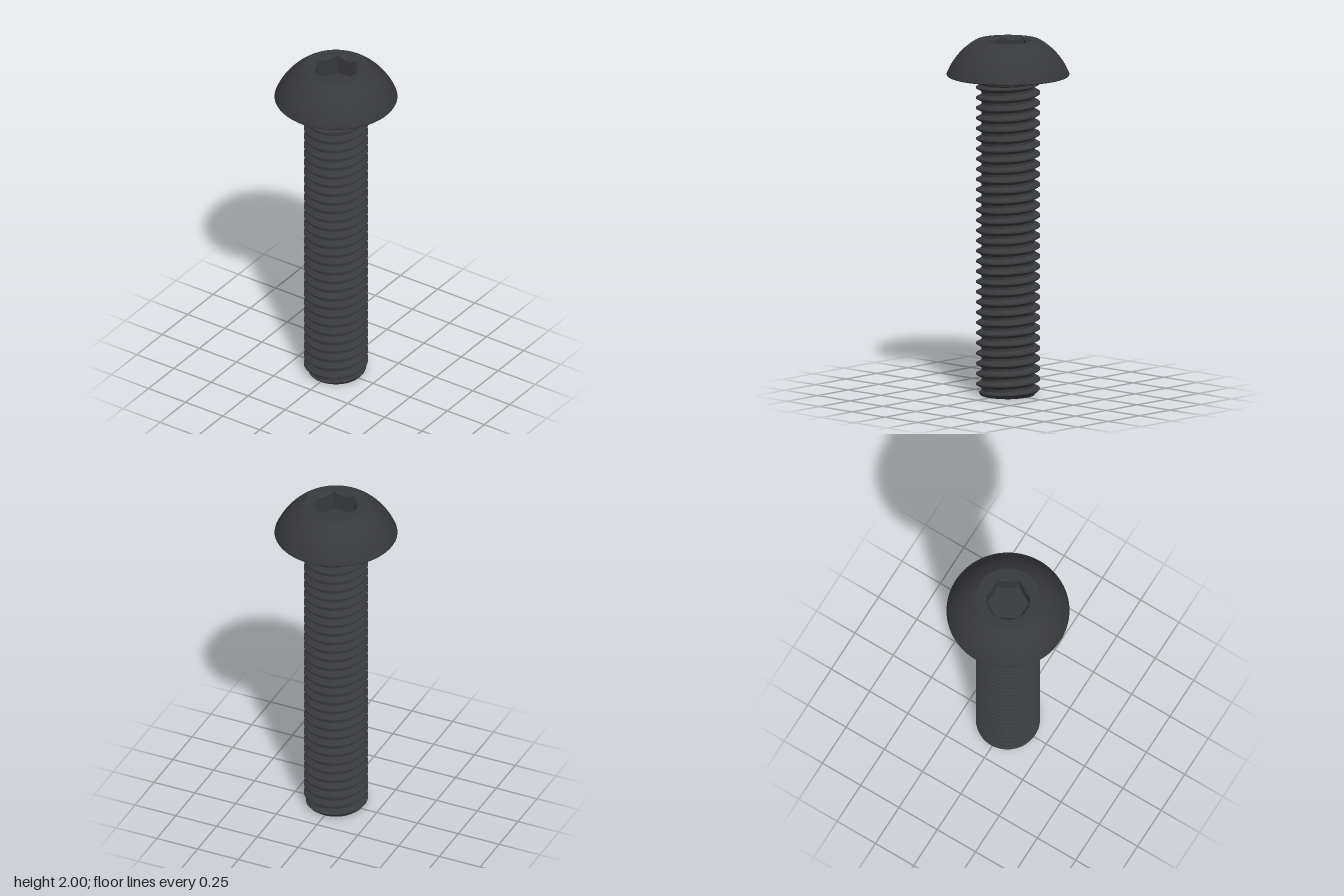
import * as THREE from 'three';
import { toCreasedNormals } from 'three/addons/utils/BufferGeometryUtils.js';

const TAU = Math.PI * 2;
const clamp = THREE.MathUtils.clamp;

// Surface around the y axis from rows of (radius, height), each free to vary with the angle
function sweep(rows, segments, at, crease) {
  const positions = [], index = [];
  const points = [];
  for (let i = 0; i < rows; i++) {
    for (let j = 0; j <= segments; j++) {
      const a = (j / segments) * TAU;
      const [r, y] = at(i, a);
      points.push(new THREE.Vector3(r * Math.cos(a), y, -r * Math.sin(a)));
    }
  }
  points.forEach((p) => positions.push(p.x, p.y, p.z));
  // Collapsed triangles are left out
  const add = (a, b, c) => {
    if (new THREE.Triangle(points[a], points[b], points[c]).getArea() > 1e-9) index.push(a, b, c);
  };
  const w = segments + 1;
  for (let i = 0; i < rows - 1; i++) {
    for (let j = 0; j < segments; j++) {
      const a = i * w + j;
      add(a, a + 1, a + w + 1);
      add(a, a + w + 1, a + w);
    }
  }
  const geo = new THREE.BufferGeometry();
  geo.setAttribute('position', new THREE.Float32BufferAttribute(positions, 3));
  geo.setIndex(index);
  return toCreasedNormals(geo, crease);
}

// Right-hand thread with a chamfered tip
function threadGeometry() {
  const pitch = 0.0577, start = 0.04, top = 1.79;
  const root = 0.147, crest = 0.179;
  const steps = [0.125, 0.28, 0.4375, 0.5625, 0.72, 0.875];
  const rows = 34 * steps.length + 1;
  return sweep(rows, 72, (i, a) => {
    if (i === 0) return [0, 0]; // centre of the flat end
    const k = i - 1;
    const u = Math.floor(k / steps.length) - 2 + steps[k % steps.length];
    const y = clamp(start + pitch * (u + a / TAU), 0, top);
    const v = (y - start) / pitch - a / TAU;
    const f = v - Math.floor(v);
    const t = clamp((0.375 - Math.abs(f - 0.5)) / 0.3125, 0, 1);
    return [Math.min(root + (crest - root) * t, 0.152 + 0.8 * y), y];
  }, 0.5);
}

// Domed head with a plain collar and a small fillet underneath
function headGeometry() {
  const profile = [
    [0.147, 1.75], [0.177, 1.768], [0.178, 1.782], [0.184, 1.794], [0.2, 1.803],
    [0.338, 1.803], [0.342, 1.808], [0.34, 1.817],
  ].map(([x, y]) => new THREE.Vector2(x, y));
  const dome = new THREE.QuadraticBezierCurve(
    new THREE.Vector2(0.34, 1.817), new THREE.Vector2(0.288, 1.938), new THREE.Vector2(0.18, 2));
  profile.push(...dome.getPoints(14).slice(1), new THREE.Vector2(0.125, 2));
  return toCreasedNormals(new THREE.LatheGeometry(profile, 96), 0.5);
}

// Hexagonal socket with a conical lead-in
function socketGeometry() {
  const apothem = 0.1083, mouth = 0.125, floor = 1.885;
  return sweep(4, 96, (i, a) => {
    const hex = apothem / Math.cos((a % (TAU / 6)) - TAU / 12);
    return [
      [mouth, 2],
      [hex, 2 - (mouth - hex)],
      [hex, floor],
      [0, floor],
    ][i];
  }, 0.3);
}

export function createModel() {
  const group = new THREE.Group();
  group.name = 'buttonHeadScrew';
  const material = new THREE.MeshStandardMaterial({ color: 0x38393b });
  const parts = {
    threadedShank: threadGeometry(),
    head: headGeometry(),
    hexSocket: socketGeometry(),
  };
  for (const [name, geometry] of Object.entries(parts)) {
    const mesh = new THREE.Mesh(geometry, material);
    mesh.name = name;
    group.add(mesh);
  }
  return group;
}
